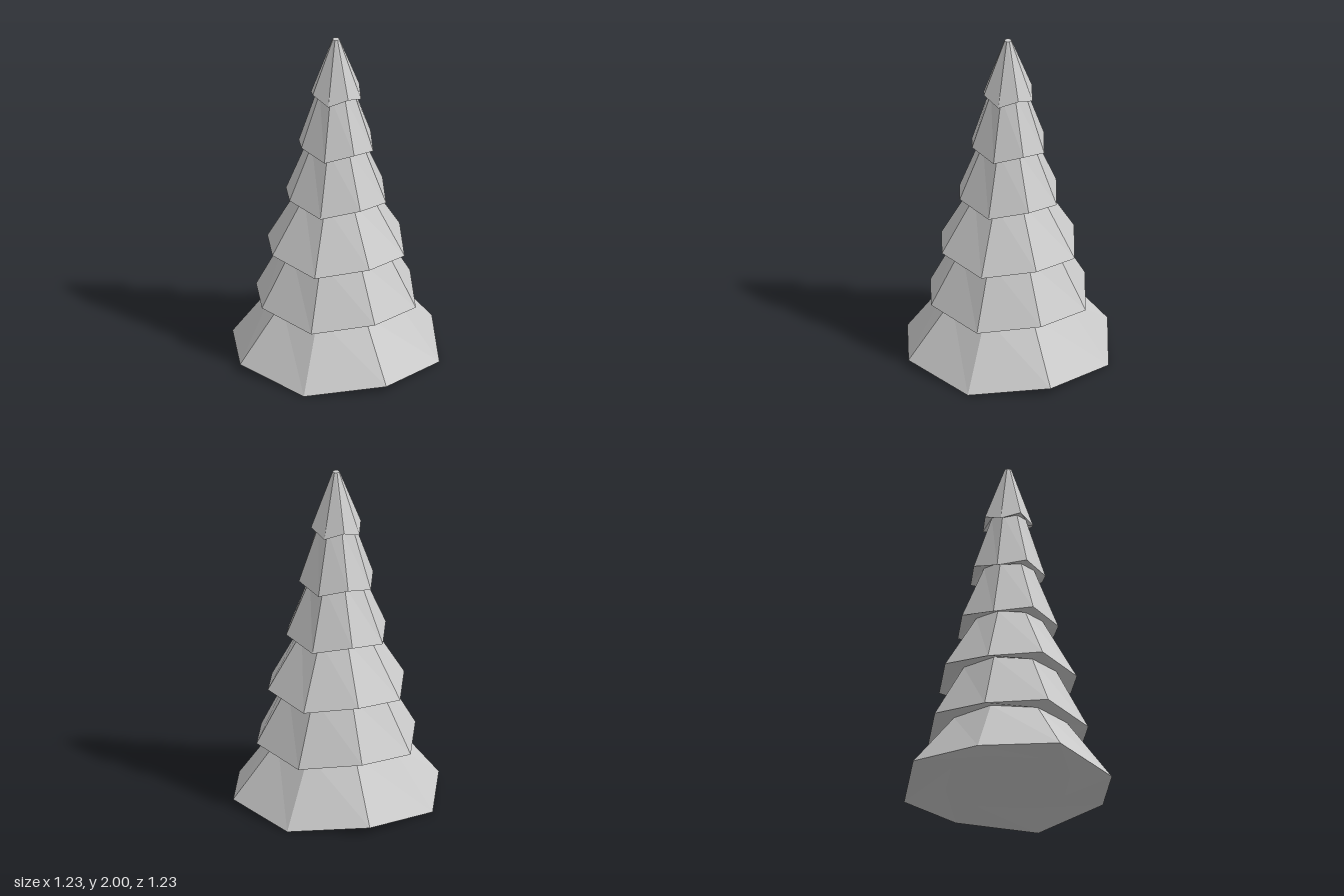
import * as THREE from 'three';

const SIDES = 8;
const LIFT = 0.04; // every second rim corner is raised

// One skirt of branches: underside from the inner ring to the rim, then up to the neck
function makeTier(innerR, innerY, rimR, rimY, topR, topY, closeBottom, closeTop) {
  const profile = [
    new THREE.Vector2(innerR, innerY),
    new THREE.Vector2(rimR, rimY),
    new THREE.Vector2(topR, topY),
  ];
  if (closeBottom) profile.unshift(new THREE.Vector2(0, innerY));
  if (closeTop) profile.push(new THREE.Vector2(0, topY));
  const geometry = new THREE.LatheGeometry(profile, SIDES);

  // Raise the diagonal rim corners so the hem zigzags
  const pos = geometry.attributes.position;
  const rimIndex = closeBottom ? 2 : 1;
  for (let side = 1; side < SIDES; side += 2) {
    const i = side * profile.length + rimIndex;
    pos.setY(i, pos.getY(i) + LIFT);
  }
  geometry.computeVertexNormals();
  return geometry;
}

export function createModel() {
  const tree = new THREE.Group();
  tree.name = 'firTree';
  const material = new THREE.MeshStandardMaterial({ color: 0xcccccc, flatShading: true });

  // Rim radius, rim height, neck radius, neck height for each tier, bottom to top
  const tiers = [
    [0.615, 0.0, 0.35, 0.37],
    [0.475, 0.33, 0.287, 0.7],
    [0.408, 0.655, 0.205, 1.025],
    [0.298, 0.983, 0.155, 1.35],
    [0.222, 1.307, 0.105, 1.675],
    [0.149, 1.633, 0.02, 2.0],
  ];

  let innerR = 0.37;
  let innerY = 0.045;
  tiers.forEach(([rimR, rimY, topR, topY], i) => {
    const last = i === tiers.length - 1;
    const geometry = makeTier(innerR, innerY, rimR, rimY, topR, topY, i === 0, last);
    const mesh = new THREE.Mesh(geometry, material);
    mesh.name = last ? 'treeTop' : `branchTier${i + 1}`;
    tree.add(mesh);
    // The next tier starts at this tier's neck
    innerR = topR;
    innerY = topY;
  });

  return tree;
}
